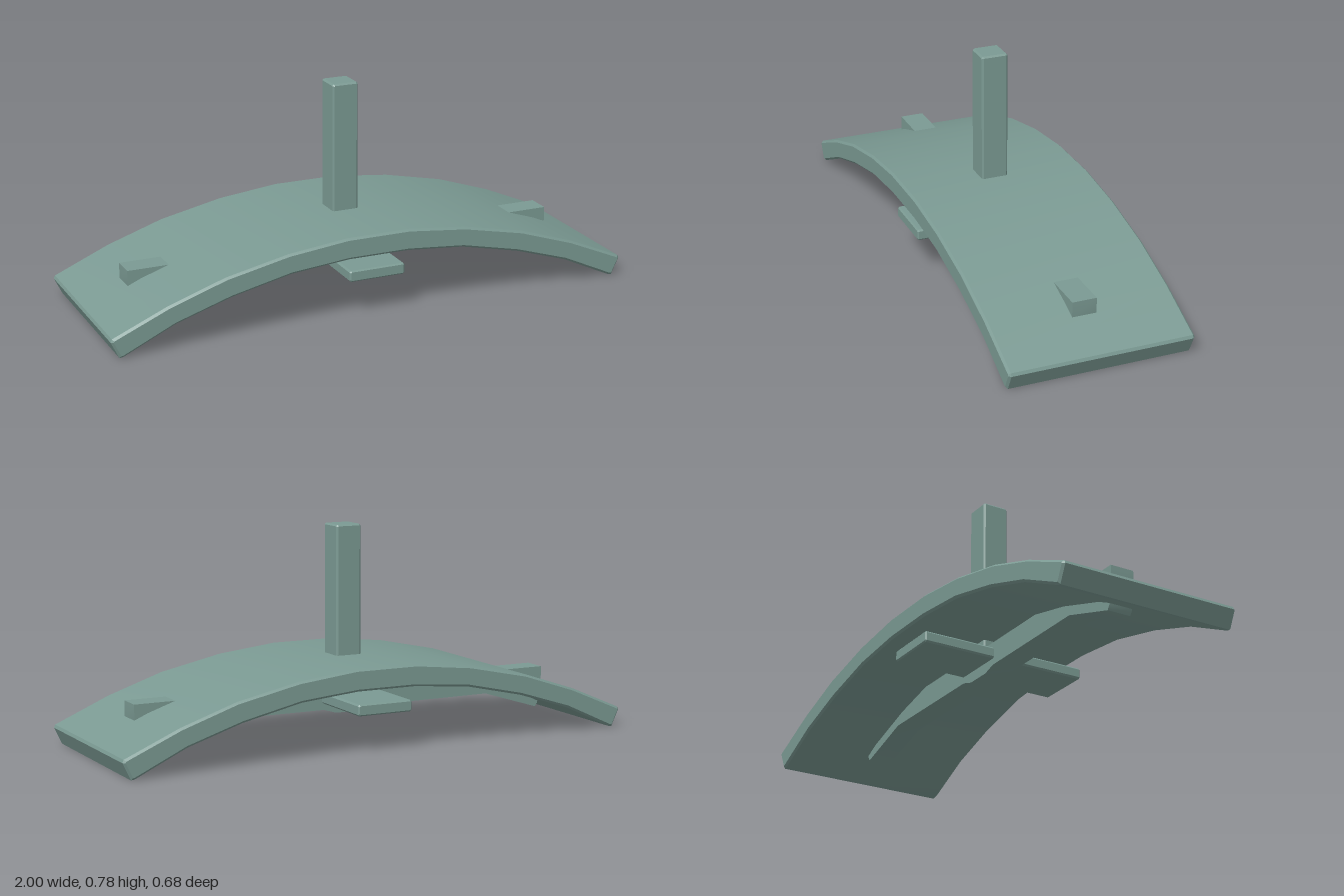
import * as THREE from 'three';
import { toCreasedNormals } from 'three/addons/utils/BufferGeometryUtils.js';

const material = new THREE.MeshStandardMaterial({ color: 0x7b9a93 });

// Mirrors a half outline (ordered from the centre outwards) across x = 0
const mirrored = (half) => [...half.map(([x, y]) => [-x, y]).reverse(), ...half];

// Extrudes an x/y outline along z, centred, with a small chamfer inside the outline
function slab(name, outline, depth, bevel) {
  const shape = new THREE.Shape(outline.map(([x, y]) => new THREE.Vector2(x, y)));
  const geometry = new THREE.ExtrudeGeometry(shape, {
    depth: depth - 2 * bevel, bevelEnabled: bevel > 0, bevelSize: bevel,
    bevelThickness: bevel, bevelOffset: -bevel, bevelSegments: 1,
  });
  geometry.translate(0, 0, bevel - depth / 2);
  const mesh = new THREE.Mesh(toCreasedNormals(geometry, 0.5), material);
  mesh.name = name;
  return mesh;
}

// Rectangle with clipped corners
function clippedRect(hx, y0, y1, c) {
  return [
    [-hx + c, y0], [hx - c, y0], [hx, y0 + c], [hx, y1 - c],
    [hx - c, y1], [-hx + c, y1], [-hx, y1 - c], [-hx, y0 + c],
  ];
}

export function createModel() {
  const model = new THREE.Group();
  model.name = 'archedSeat';

  // Arched plank
  const lower = mirrored([[0.115, 0.23], [0.335, 0.21], [0.56, 0.16], [0.765, 0.095], [0.957, 0.006], [0.97, 0.004]]);
  const upper = mirrored([[0.12, 0.31], [0.345, 0.285], [0.58, 0.235], [0.79, 0.165], [0.995, 0.077], [1, 0.066]]);
  model.add(slab('archedPlank', [...lower, ...upper.reverse()], 0.68, 0.008));

  // Long rib under the plank, its ends poking through the top
  const rib = mirrored([[0.05, 0.099], [0.1, 0.114], [0.59, 0.115], [0.815, 0.045], [0.825, 0.06], [0.84, 0.14], [0.84, 0.2]]);
  model.add(slab('rib', rib, 0.09, 0));

  // Cross plate reaching out on both sides of the rib
  model.add(slab('crossPlate', clippedRect(0.108, 0.138, 0.18, 0.006), 0.65, 0.005));

  // Upright post
  model.add(slab('post', clippedRect(0.05, 0.19, 0.788, 0.006), 0.1, 0.006));

  return model;
}
